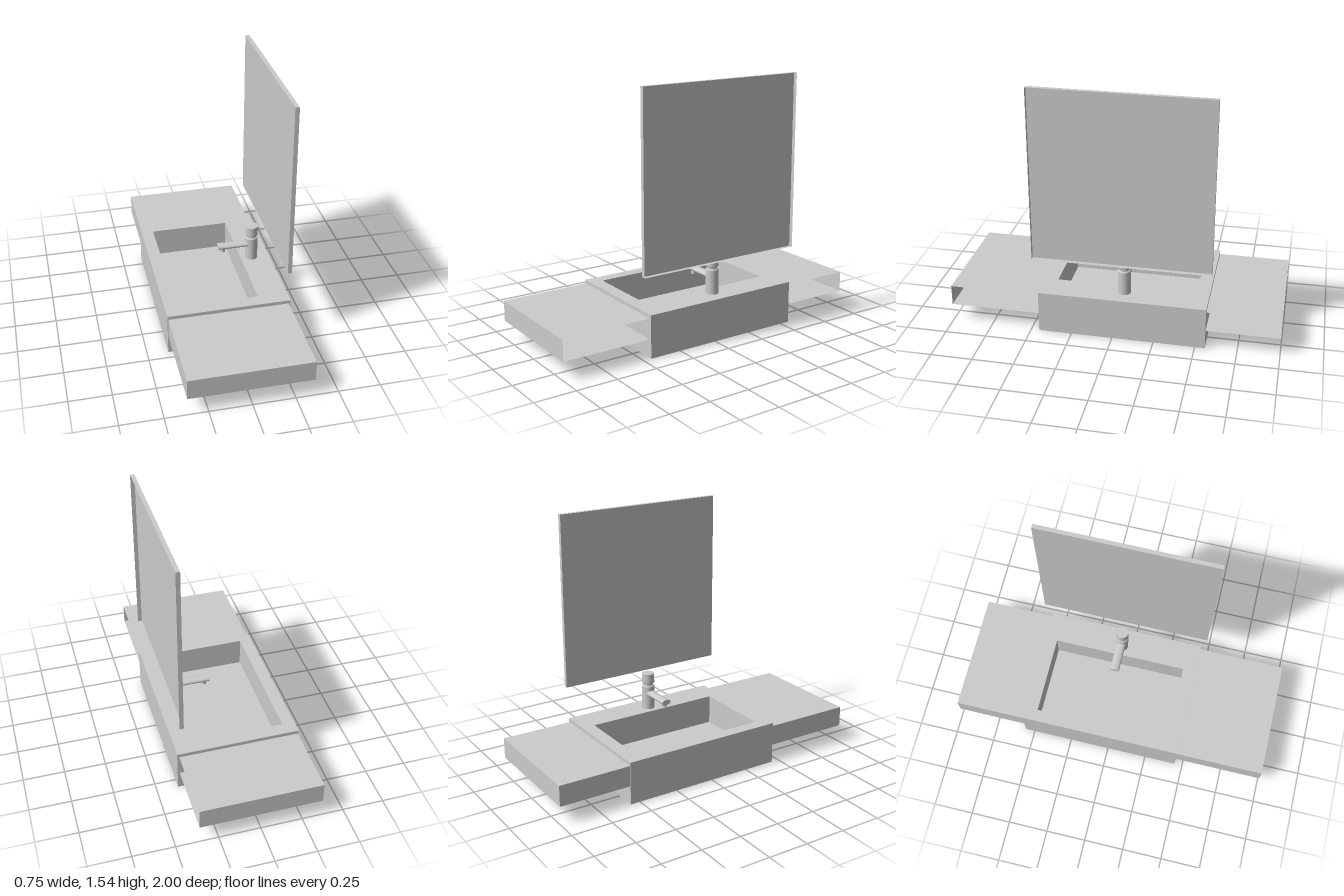
import * as THREE from 'three';

const grey = new THREE.MeshStandardMaterial({ color: 0xcccccc });
const thin = new THREE.MeshStandardMaterial({ color: 0xcccccc, side: THREE.DoubleSide });

function add(parent, name, geometry, material = grey) {
  const mesh = new THREE.Mesh(geometry, material);
  mesh.name = name;
  parent.add(mesh);
  return mesh;
}

// Box given by its min and max corners; faces listed in skip are left out
// (0:+x 1:-x 2:+y 3:-y 4:+z 5:-z).
function box(min, max, skip = []) {
  const size = max.map((v, i) => v - min[i]);
  const g = new THREE.BoxGeometry(...size);
  const index = Array.from(g.index.array);
  g.setIndex(index.filter((_, i) => !skip.includes(Math.floor(i / 6))));
  g.clearGroups();
  return g.translate(...min.map((v, i) => v + size[i] / 2));
}

// Lathe with crisp rings: every profile segment is its own smooth band.
function turned(parent, name, profile, x, z) {
  const group = new THREE.Group();
  group.name = name;
  group.position.set(x, 0, z);
  for (let i = 0; i < profile.length - 1; i++) {
    const pts = [profile[i], profile[i + 1]].map(p => new THREE.Vector2(...p));
    add(group, name + 'Band', new THREE.LatheGeometry(pts, 40));
  }
  parent.add(group);
}

export function createModel() {
  const model = new THREE.Group();
  model.name = 'washstand';

  // Basin block: rectangular rim with a deep rectangular bowl
  const floorY = 0.08, topY = 0.26;
  const rim = new THREE.Shape();
  rim.moveTo(-0.375, -0.45).lineTo(0.372, -0.45).lineTo(0.372, 0.56).lineTo(-0.375, 0.56).closePath();
  const bowl = new THREE.Path();
  bowl.moveTo(-0.30, -0.37).lineTo(-0.30, 0.48).lineTo(0.19, 0.48).lineTo(0.19, -0.37).closePath();
  rim.holes.push(bowl);
  const rimGeometry = new THREE.ExtrudeGeometry(rim, { depth: topY - floorY, bevelEnabled: false });
  rimGeometry.rotateX(-Math.PI / 2).translate(0, floorY, 0);
  add(model, 'basinRim', rimGeometry);
  add(model, 'basinBase', box([-0.375, 0, -0.56], [0.372, floorY, 0.45]));

  // Side counters: hollow shells, open to the wall and where they meet the basin
  add(model, 'counterLeft', box([-0.37, 0.112, 0.45], [0.36, 0.238, 1], [0, 5]), thin);
  add(model, 'counterRight', box([-0.37, 0.112, -1], [0.36, 0.238, -0.56], [0, 4]), thin);

  // Mirror: shallow tray open to the wall
  add(model, 'mirror', box([0.335, 0.48, -0.585], [0.36, 1.543, 0.483], [0]), thin);

  // Tap: column with a necked-in ring below the handle cap
  const tap = new THREE.Group();
  tap.name = 'tap';
  model.add(tap);
  const tx = 0.258, tz = -0.055, r = 0.039;
  turned(tap, 'tapBody', [
    [r, topY], [r, 0.408], [r - 0.005, 0.414], [r - 0.009, 0.414], [r - 0.009, 0.428],
    [r - 0.003, 0.428], [r, 0.432], [r, 0.491], [0, 0.491],
  ], tx, tz);

  // Flattened round spout with a small outlet under its tip
  const spout = new THREE.CylinderGeometry(1, 1, 0.198, 32);
  spout.rotateZ(Math.PI / 2).scale(1, 0.017, 0.029);
  add(tap, 'spout', spout).position.set(0.141, 0.365, tz);
  add(tap, 'outlet', new THREE.CylinderGeometry(0.017, 0.017, 0.028, 24)).position.set(0.072, 0.344, tz);

  return model;
}
